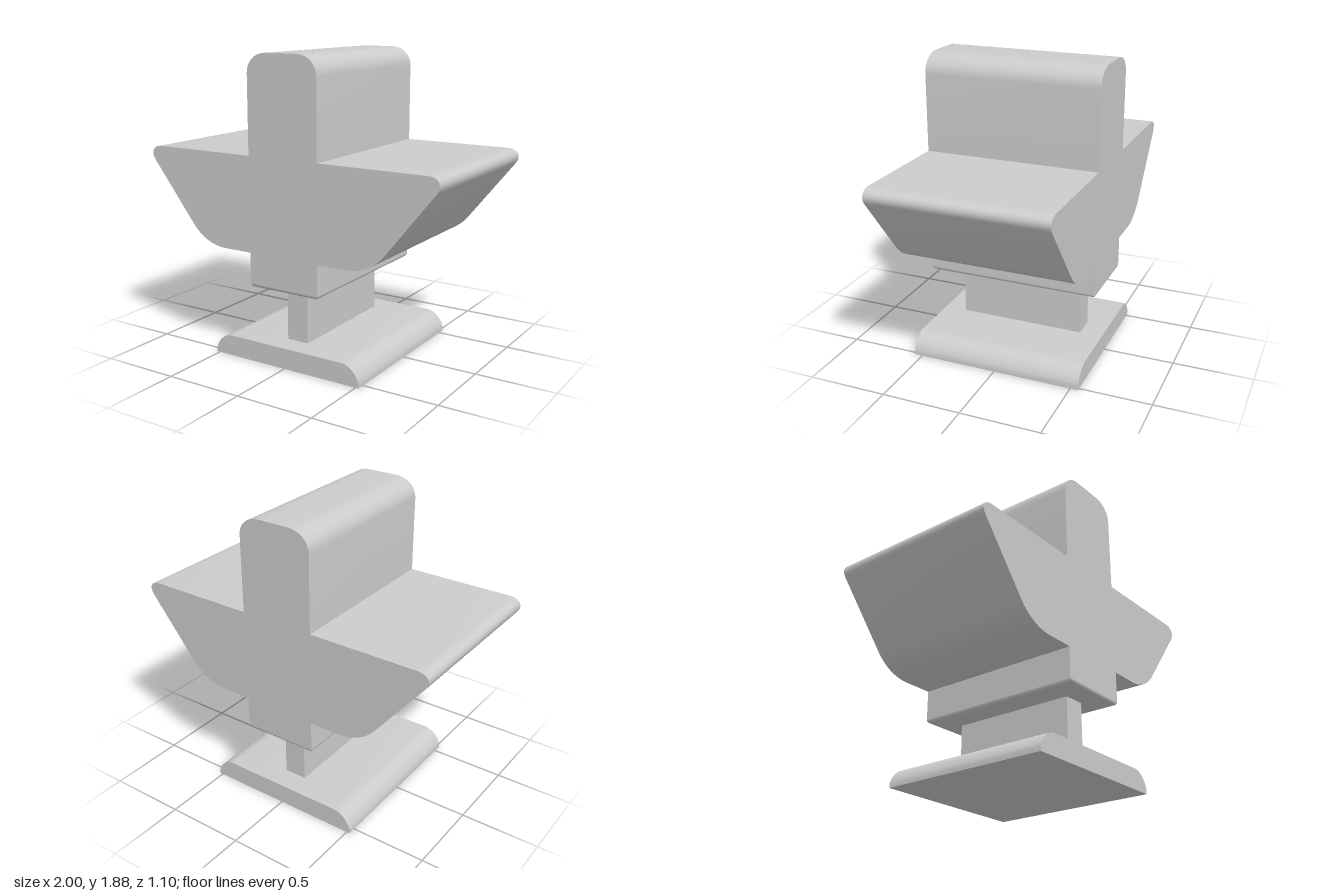
import * as THREE from 'three';
import { toCreasedNormals } from 'three/addons/utils/BufferGeometryUtils.js';

const DEPTH = 1.1;
const material = new THREE.MeshStandardMaterial({ color: 0xcccccc });

function part(name, geometry) {
  const mesh = new THREE.Mesh(geometry, material);
  mesh.name = name;
  return mesh;
}

// Mirrors a right-hand outline (bottom to top) and extrudes it along z.
function extrudeSymmetric(half) {
  const pts = half.getPoints(10);
  const mirrored = pts.map((p) => new THREE.Vector2(-p.x, p.y)).reverse();
  const geometry = new THREE.ExtrudeGeometry(new THREE.Shape([...pts, ...mirrored]), {
    depth: DEPTH, bevelEnabled: false,
  });
  geometry.translate(0, 0, -DEPTH / 2);
  return toCreasedNormals(geometry, 0.6);
}

export function createModel() {
  const model = new THREE.Group();
  model.name = 'model';

  // Winged body: stem, flared wings and rounded upright in one outline
  const body = new THREE.Path();
  body.moveTo(0.24, 0.5);
  body.lineTo(0.24, 0.69);
  body.lineTo(0.43, 0.69);
  body.bezierCurveTo(0.53, 0.69, 0.62, 0.735, 0.68, 0.81);
  body.lineTo(0.985, 1.19);
  body.bezierCurveTo(1.02, 1.235, 0.995, 1.28, 0.93, 1.28);
  body.lineTo(0.24, 1.28);
  body.lineTo(0.24, 1.76);
  body.bezierCurveTo(0.24, 1.83, 0.18, 1.88, 0.1, 1.88);
  model.add(part('body', extrudeSymmetric(body)));

  // Softened underside of the stem; its upper bevel sits inside the body
  const r = 0.025;
  const w = 0.24 - r;
  const d = DEPTH / 2 - r;
  const rect = new THREE.Shape([[-w, -d], [w, -d], [w, d], [-w, d]].map((p) => new THREE.Vector2(...p)));
  const underside = new THREE.ExtrudeGeometry(rect, {
    depth: 0.001, bevelSize: r, bevelThickness: r, bevelSegments: 5,
  });
  underside.rotateX(-Math.PI / 2).translate(0, 0.5, 0);
  model.add(part('stemUnderside', toCreasedNormals(underside, 0.6)));

  // Column between the foot and the body
  const column = part('column', new THREE.BoxGeometry(0.145, 0.38, 0.81));
  column.position.y = 0.31;
  model.add(column);

  // Foot with rounded long sides
  const foot = new THREE.Path();
  foot.moveTo(0.52, 0);
  foot.lineTo(0.52, 0.03);
  foot.bezierCurveTo(0.505, 0.08, 0.46, 0.13, 0.4, 0.13);
  model.add(part('foot', extrudeSymmetric(foot)));

  return model;
}
